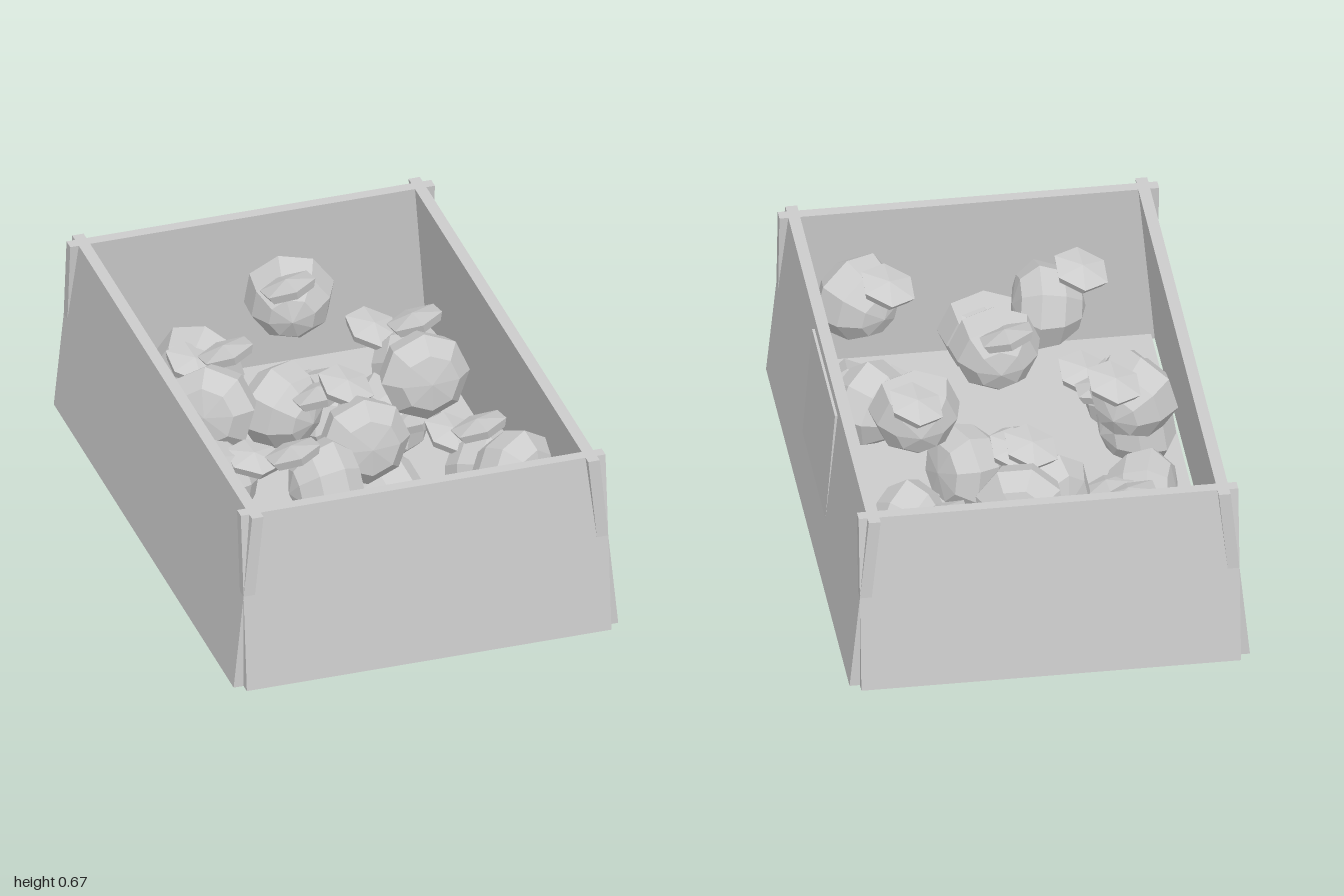
import * as THREE from 'three';

const mat = new THREE.MeshStandardMaterial({ color: 0xcccccc, flatShading: true, side: THREE.DoubleSide });

function add(parent, geometry, name) {
  const mesh = new THREE.Mesh(geometry, mat);
  mesh.name = name;
  parent.add(mesh);
  return mesh;
}

// Upright slab facing +x, leaning inwards: outer face runs from xBottom to xTop
function leaningSlab(xBottom, xTop, y0, y1, thickness, length) {
  const g = new THREE.BoxGeometry(thickness, y1 - y0, length);
  const p = g.attributes.position;
  for (let i = 0; i < p.count; i++) {
    const t = p.getY(i) > 0 ? 1 : 0;
    p.setX(i, p.getX(i) - thickness / 2 + THREE.MathUtils.lerp(xBottom, xTop, t));
  }
  g.translate(0, (y0 + y1) / 2, 0);
  g.computeVertexNormals();
  return g;
}

export function createModel() {
  const model = new THREE.Group();
  model.name = 'fruitCrate';

  // Crate: four crossing walls, a thin floor and a plate on one side
  const crate = new THREE.Group();
  crate.name = 'crate';
  model.add(crate);
  const sideWall = leaningSlab(0.675, 0.61, 0.03, 0.675, 0.04, 1.93);
  const endWall = leaningSlab(1.0, 0.935, 0.03, 0.675, 0.04, 1.28);
  add(crate, sideWall, 'leftWall');
  add(crate, sideWall, 'rightWall').rotation.y = Math.PI;
  add(crate, endWall, 'frontWall').rotation.y = -Math.PI / 2;
  add(crate, endWall, 'backWall').rotation.y = Math.PI / 2;
  add(crate, new THREE.BoxGeometry(1.24, 0.02, 1.89), 'floor').position.y = 0.05;
  add(crate, leaningSlab(0.661, 0.622, 0.15, 0.645, 0.015, 0.53), 'sidePlate');

  // Fruit: eight-sided lathe, wide at the bottom and narrowing to the top
  const profile = [[0, -0.11], [0.1, -0.095], [0.155, -0.035], [0.135, 0.05], [0.08, 0.115], [0, 0.14]];
  const fruit = new THREE.LatheGeometry(profile.map(([r, y]) => new THREE.Vector2(r, y)), 8);
  const HIGH = 0.49, MID = 0.29, LOW = 0.155;
  // x, y, z, then the horizontal direction of the wide end
  const fruits = [
    [-0.28, MID, -0.63, 0.6, -0.8], [0.05, HIGH, -0.65, 0.25, -1], [0.1, LOW, -0.45, 0.6, 0.5],
    [-0.09, MID, -0.31, -0.5, -0.8], [0.4, MID, -0.41, 0.7, 0.5], [0.3, LOW, -0.35, -0.7, 0.3],
    [0.32, HIGH, -0.05, 0, 1], [-0.41, HIGH, -0.06, -0.5, 0.7], [-0.44, LOW, -0.14, -1, -0.3],
    [-0.45, MID, 0.09, -1, 0.3], [0.13, LOW, 0.1, 0.9, -0.4], [0, HIGH, 0.29, 0, 1],
    [0.42, MID, 0.32, 0.7, 0.6], [-0.46, LOW, 0.46, -1, -0.2], [-0.2, HIGH, 0.53, 1, 0],
    [0.45, LOW, 0.52, 1, 0.1], [-0.02, MID, 0.69, 0, 1], [0.41, HIGH, 0.66, 0.5, 0.8],
  ];
  const fruitGroup = new THREE.Group();
  fruitGroup.name = 'fruits';
  model.add(fruitGroup);
  const down = new THREE.Vector3(0, -1, 0);
  for (const [x, y, z, dx, dz] of fruits) {
    const mesh = add(fruitGroup, fruit, 'fruit');
    mesh.position.set(x, y, z);
    mesh.quaternion.setFromUnitVectors(down, new THREE.Vector3(dx, 0.12, dz).normalize());
  }

  // Leaf caps: shallow six-sided domes; lean is +1 towards front left, -1 towards back right
  const cap = new THREE.LatheGeometry(
    [[0, -0.02], [0.085, -0.02], [0.1, 0.01], [0, 0.03]].map(([r, y]) => new THREE.Vector2(r, y)), 6);
  const caps = [
    [-0.34, 0.39, -0.5, 1], [0, 0.62, -0.51, -1], [0.3, 0.39, -0.53, 1],
    [-0.33, 0.62, -0.17, -1], [0, 0.39, -0.18, -1], [0.34, 0.61, -0.19, -1],
    [-0.34, 0.39, 0.15, 0.5], [-0.02, 0.62, 0.16, 1], [0.34, 0.39, 0.2, 1],
    [-0.32, 0.62, 0.52, -1], [-0.01, 0.39, 0.55, -1], [0.33, 0.61, 0.53, -1],
    [0.02, 0.22, -0.53, -1], [-0.31, 0.22, -0.19, 1], [0.34, 0.22, -0.2, -1],
    [-0.02, 0.22, 0.14, 1], [-0.33, 0.22, 0.5, -1], [0.31, 0.22, 0.51, -1],
  ];
  const capGroup = new THREE.Group();
  capGroup.name = 'leafCaps';
  model.add(capGroup);
  for (const [x, y, z, lean] of caps) {
    const mesh = add(capGroup, cap, 'leafCap');
    mesh.position.set(x, y, z);
    mesh.rotation.set(0.25 * lean, 0, -0.25 * lean);
  }
  return model;
}
